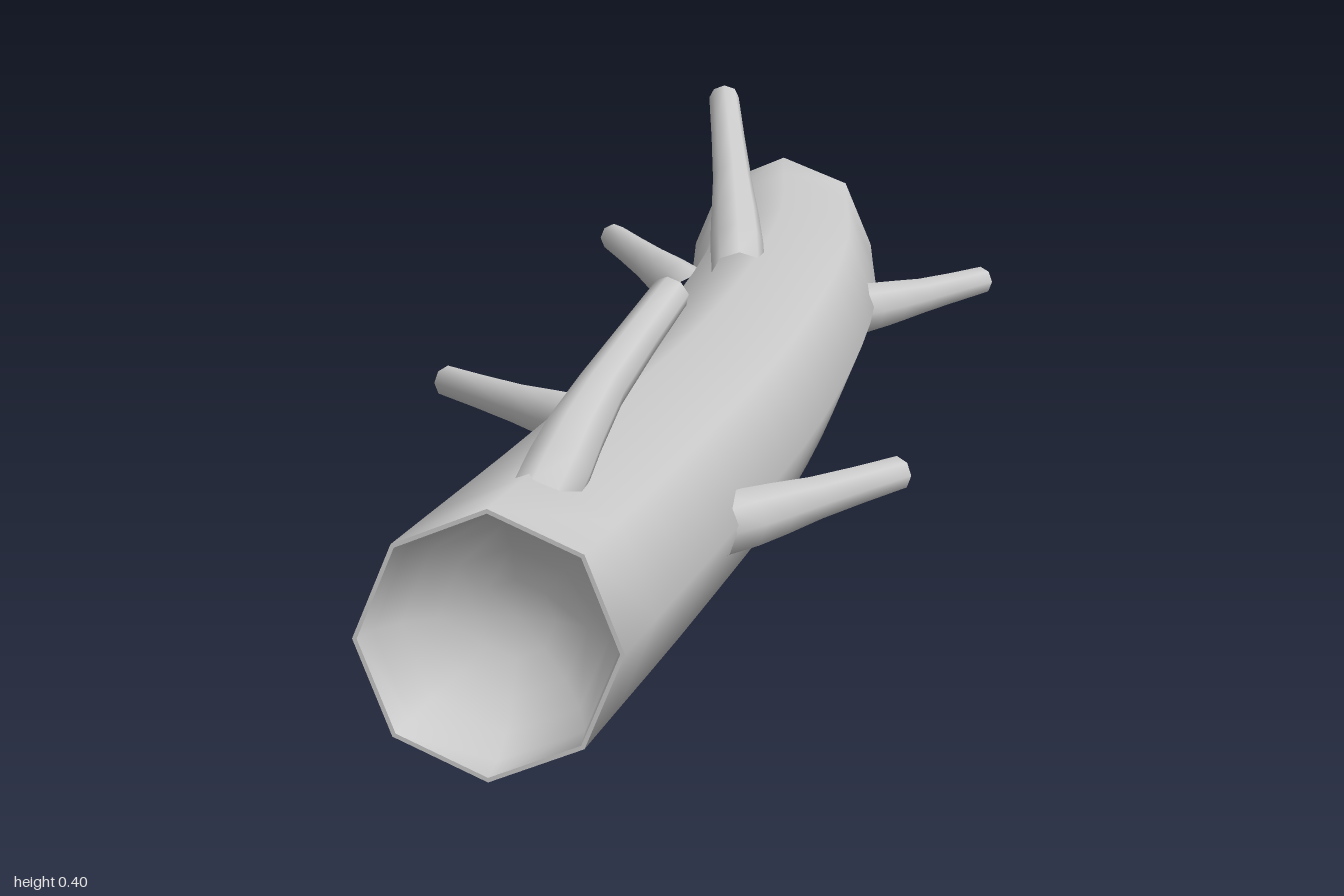
import * as THREE from 'three';
import { mergeVertices } from 'three/addons/utils/BufferGeometryUtils.js';

const material = new THREE.MeshStandardMaterial({ color: 0xcccccc });
const UP = new THREE.Vector3(0, 1, 0);
const curveThrough = (points) => new THREE.CatmullRomCurve3(points.map((p) => new THREE.Vector3(...p)));

// Sweeps a regular polygon along a curve; each station is [position 0..1, radius].
// Stations that run backwards along the curve make a surface facing inwards.
function sweep(curve, stations, sides) {
  const positions = [], index = [];
  stations.forEach(([t, r], i) => {
    const centre = curve.getPointAt(t);
    const tangent = curve.getTangentAt(t);
    const side = new THREE.Vector3().crossVectors(tangent, UP).normalize();
    const up = new THREE.Vector3().crossVectors(side, tangent);
    for (let j = 0; j < sides; j++) {
      const a = (j / sides) * Math.PI * 2;
      const p = centre.clone().addScaledVector(side, r * Math.cos(a)).addScaledVector(up, r * Math.sin(a));
      positions.push(p.x, p.y, p.z);
      if (i === 0) continue;
      const k = (j + 1) % sides, row = i * sides, last = row - sides;
      index.push(last + j, row + j, last + k, row + j, row + k, last + k);
    }
  });
  let geometry = new THREE.BufferGeometry();
  geometry.setAttribute('position', new THREE.Float32BufferAttribute(positions, 3));
  geometry.setIndex(index);
  geometry = mergeVertices(geometry, 1e-5);
  geometry.computeVertexNormals();
  return geometry;
}

export function createModel() {
  const group = new THREE.Group();
  const add = (name, geometry, parent = group) => {
    const mesh = new THREE.Mesh(geometry, material);
    mesh.name = name;
    parent.add(mesh);
  };

  // Gently bent eight-sided log
  const path = curveThrough([
    [0.015, 0.135, 0.996], [0.036, 0.126, 0.5], [0.049, 0.12, 0],
    [0.033, 0.127, -0.58], [-0.02, 0.135, -0.985],
  ]);
  const R = 0.117, INNER = 0.113;
  const rows = Array.from({ length: 17 }, (_, i) => [i / 16, R]);
  add('trunk', sweep(path, rows, 8));

  // Thin rims and bowl-shaped hollows in both ends
  const bowl = Array.from({ length: 6 }, (_, i) => {
    const a = (i / 5) * Math.PI / 2;
    return [0.05 * Math.sin(a), i === 5 ? 0 : INNER * Math.cos(a)];
  });
  add('frontRim', sweep(path, [[0, INNER], [0, R]], 8));
  add('backRim', sweep(path, [[1, R], [1, INNER]], 8));
  add('frontHollow', sweep(path, [...bowl].reverse(), 8));
  add('backHollow', sweep(path, bowl.map(([d, r]) => [1 - d, r]), 8));

  // Short tapered twigs: root, bend and tip
  const twigs = {
    topFrontTwig: [[0.03, 0.22, 0.85], [0.053, 0.285, 0.745], [0.1, 0.362, 0.592]],
    topBackTwig: [[0.025, 0.22, -0.3], [0.002, 0.292, -0.41], [-0.036, 0.386, -0.575]],
    leftFrontTwig: [[0.125, 0.12, 0.51], [0.19, 0.12, 0.4], [0.272, 0.119, 0.25]],
    leftBackTwig: [[0.11, 0.12, -0.59], [0.178, 0.12, -0.69], [0.257, 0.119, -0.845]],
    rightMiddleTwig: [[-0.04, 0.12, 0.12], [-0.135, 0.122, 0.04], [-0.277, 0.119, -0.113]],
    rightBackTwig: [[-0.07, 0.135, -0.58], [-0.142, 0.148, -0.705], [-0.234, 0.153, -0.895]],
  };
  for (const [name, points] of Object.entries(twigs)) {
    const twig = new THREE.Group();
    twig.name = name;
    const curve = curveThrough(points);
    const taper = [[0, 0.031], [0.15, 0.031], [0.3, 0.028], [0.5, 0.023], [0.75, 0.02], [1, 0.018]];
    add('twigStem', sweep(curve, taper, 8), twig);
    add('twigTip', sweep(curve, [[1, 0.018], [1, 0]], 8), twig);
    group.add(twig);
  }
  return group;
}
